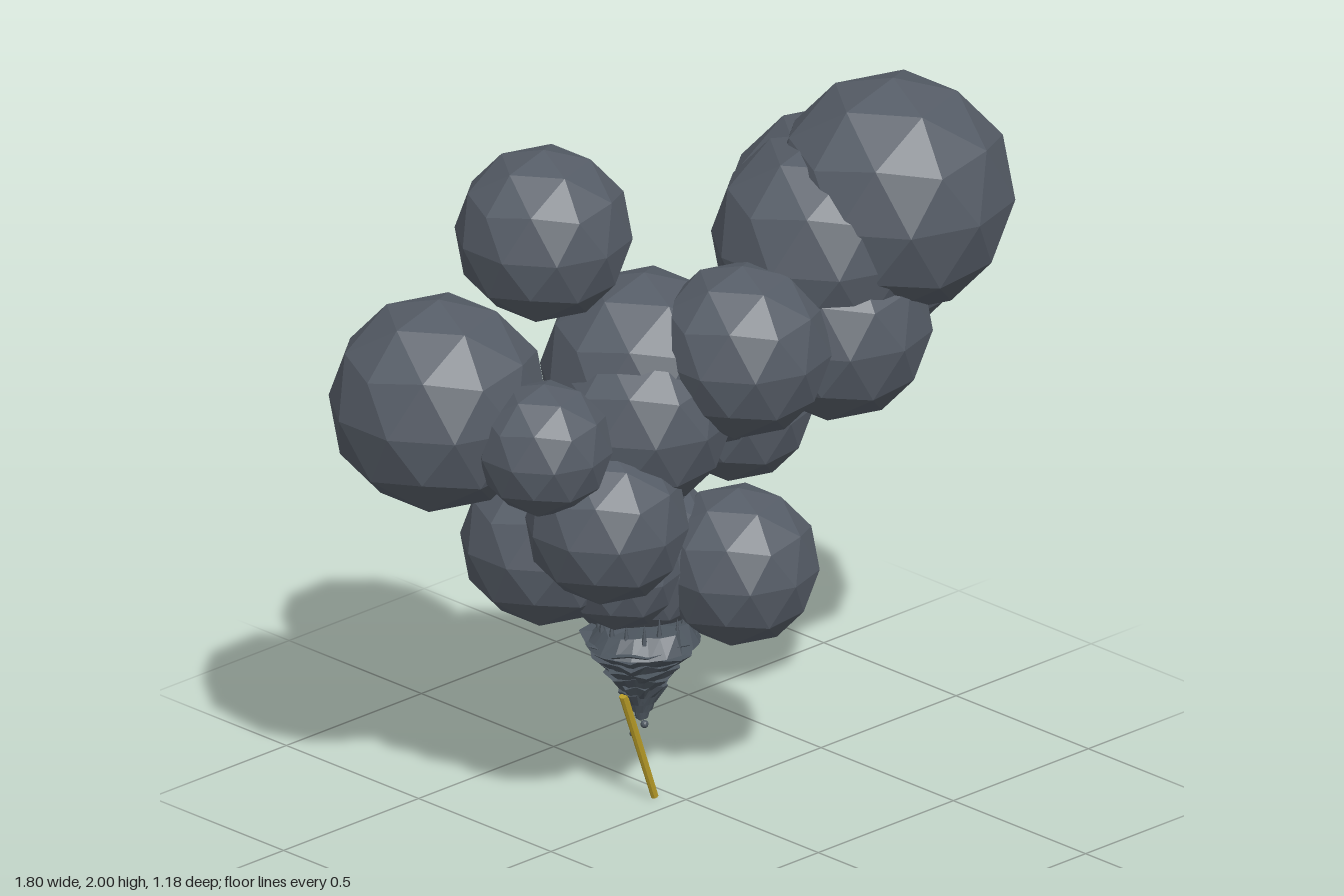
import * as THREE from 'three';

const smoke = new THREE.MeshStandardMaterial({ color: 0x555c66 });
smoke.name = 'smokeGrey';
smoke.flatShading = true;
const slate = new THREE.MeshStandardMaterial({ color: 0x4d565f });
slate.name = 'slateGrey';
slate.flatShading = true;
const yellow = new THREE.MeshStandardMaterial({ color: 0xb89c28 });
yellow.name = 'stickYellow';
yellow.flatShading = true;

// small repeatable noise in 0..1
const noise = (n) => { const s = Math.sin(n * 127.1 + 11.7) * 43758.5453; return s - Math.floor(s); };

// x, y, z, radius of each puff
const PUFFS = [
  [0.517, 1.672, 0.255, 0.328], [0.58, 1.472, 0, 0.338], [0.35, 1.56, 0.16, 0.3],
  [0.335, 1.338, 0.225, 0.26], [0.0, 1.36, 0.213, 0.24], [-0.125, 1.265, -0.03, 0.28],
  [-0.622, 1.238, -0.3, 0.295], [-0.38, 1.698, -0.15, 0.239], [-0.545, 1.18, 0.02, 0.184],
  [-0.38, 0.938, 0.09, 0.22], [-0.337, 0.797, -0.18, 0.234], [-0.235, 0.73, -0.01, 0.163],
  [0.144, 0.65, 0.05, 0.219], [-0.01, 0.665, -0.18, 0.237], [0.28, 1.03, -0.1, 0.212],
  [0.277, 1.1, -0.125, 0.213], [-0.215, 1.03, -0.03, 0.205], [-0.32, 1.035, -0.18, 0.178],
  [-0.2, 1.18, 0.04, 0.245], [0.1, 1.15, 0.0, 0.15],
];

// flared ring with a ragged upper rim
function raggedRing(rTop, rBottom, height, seed) {
  const sides = 20;
  const g = new THREE.CylinderGeometry(rTop, rBottom, height, sides, 1);
  const p = g.attributes.position;
  for (let i = 0; i < p.count; i++) {
    const x = p.getX(i), z = p.getZ(i), y = p.getY(i);
    if (y < 0 || Math.hypot(x, z) < 1e-5) continue;
    const k = (Math.round((Math.atan2(z, x) / (2 * Math.PI)) * sides) + sides) % sides;
    const f = 0.84 + 0.25 * noise(k + seed * 31);
    p.setXYZ(i, x * f, y + 0.016 * (noise(k * 3 + seed) - 0.5), z * f);
  }
  g.computeVertexNormals();
  return g;
}

export function createModel() {
  const model = new THREE.Group();
  model.name = 'smokePlume';
  const add = (parent, name, geo, mat, x, y, z) => {
    const m = new THREE.Mesh(geo, mat);
    m.name = name;
    m.position.set(x, y, z);
    parent.add(m);
    return m;
  };

  // faceted puffs, one corner straight up
  const ball = new THREE.IcosahedronGeometry(1, 1).rotateZ(Math.atan(2 / (1 + Math.sqrt(5))));
  const cloud = new THREE.Group();
  cloud.name = 'cloud';
  PUFFS.forEach(([x, y, z, r]) => add(cloud, 'puff', ball, smoke, x, y, z).scale.setScalar(r));
  model.add(cloud);

  // ragged cone of stacked rings
  const swirl = new THREE.Group();
  swirl.name = 'swirl';
  swirl.position.set(-0.095, 0, -0.07);
  swirl.scale.z = 0.92;
  const layers = 9;
  for (let i = 0; i < layers; i++) {
    const t = i / (layers - 1);
    const r = 0.028 + 0.137 * Math.pow(t, 0.9);
    add(swirl, 'swirlRing', raggedRing(r, r * 0.62, 0.04, i + 1), slate, 0, 0.265 + t * 0.195, 0);
  }
  add(swirl, 'swirlTop', raggedRing(0.13, 0.16, 0.05, 17), slate, 0.005, 0.49, 0);
  add(swirl, 'swirlTip', new THREE.ConeGeometry(0.02, 0.04, 8).rotateX(Math.PI), slate, 0.005, 0.255, 0);

  // thin wisps on the upper rim
  const wisp = new THREE.ConeGeometry(0.009, 0.06, 5);
  for (let i = 0; i < 14; i++) {
    const a = (i / 14) * Math.PI * 2;
    const r = 0.09 + 0.03 * noise(i + 5);
    add(swirl, 'wisp', wisp, slate, Math.cos(a) * r, 0.525 + 0.012 * noise(i), Math.sin(a) * r);
  }
  model.add(swirl);

  // loose crumbs under the cone
  [[-0.085, 0.222, -0.07, 0.011], [-0.1, 0.19, -0.1, 0.008], [-0.09, 0.24, -0.08, 0.009]]
    .forEach(([x, y, z, r]) => add(model, 'crumb', ball, slate, x, y, z).scale.setScalar(r));

  // leaning stick
  const top = new THREE.Vector3(-0.165, 0.328, -0.068);
  const foot = new THREE.Vector3(-0.049, 0.004, -0.068);
  const dir = top.clone().sub(foot);
  const stick = add(model, 'stick', new THREE.CylinderGeometry(0.012, 0.01, dir.length(), 8), yellow,
    ...foot.clone().add(top).multiplyScalar(0.5).toArray());
  stick.quaternion.setFromUnitVectors(new THREE.Vector3(0, 1, 0), dir.normalize());

  return model;
}
